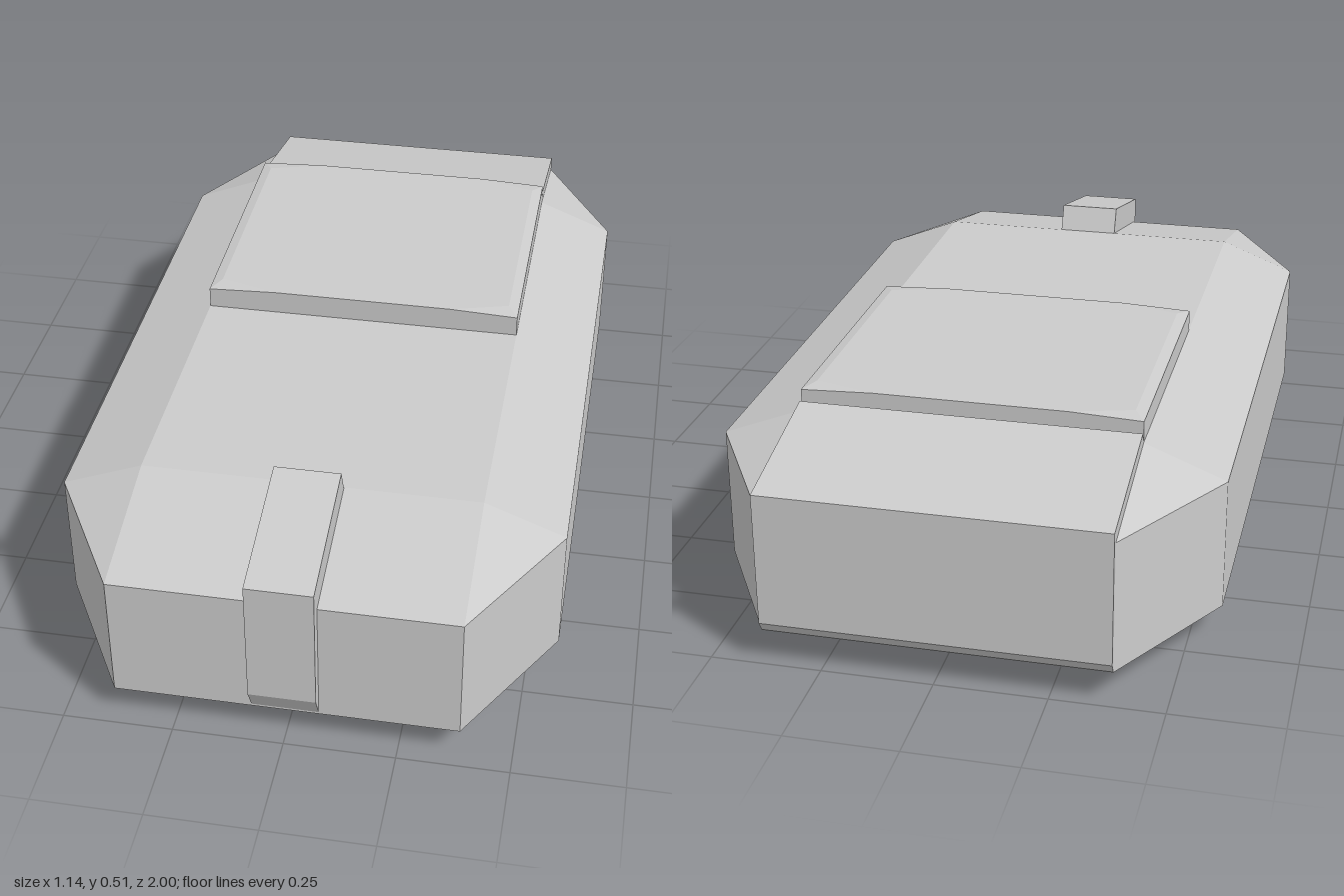
import * as THREE from 'three';
import { ConvexGeometry } from 'three/addons/geometries/ConvexGeometry.js';

const material = new THREE.MeshStandardMaterial({ color: 0xcccccc, flatShading: true });

// Adds a point and its mirror across x = 0
const pair = (x, y, z) => [new THREE.Vector3(x, y, z), new THREE.Vector3(-x, y, z)];

function addPart(group, name, geometry) {
  const mesh = new THREE.Mesh(geometry, material);
  mesh.name = name;
  group.add(mesh);
}

// Side profile of [z, y] points, extruded across x and centred
function sideExtrude(profile, width) {
  const shape = new THREE.Shape(profile.map(([z, y]) => new THREE.Vector2(z, y)));
  const geometry = new THREE.ExtrudeGeometry(shape, { depth: width, bevelEnabled: false });
  return geometry.translate(0, 0, -width / 2).rotateY(-Math.PI / 2);
}

export function createModel() {
  const group = new THREE.Group();
  const inner = 0.385, outer = 0.57;
  const frontZ = 0.65, backZ = -0.665;

  // Body: octagonal band with sloped shoulders to a flat top and bottom
  const body = [];
  for (const y of [0.075, 0.38]) {
    body.push(...pair(inner, y, 0.97), ...pair(outer, y, frontZ),
      ...pair(outer, y, backZ), ...pair(inner, y, -0.985));
  }
  for (const y of [0, 0.453]) {
    body.push(...pair(inner, y, frontZ), ...pair(inner, y, backZ));
  }
  addPart(group, 'body', new ConvexGeometry(body));

  // Raised top panel with slightly lowered corners
  const panel = [];
  for (const [z, inset] of [[-0.01, -0.04], [backZ, 0.04]]) {
    panel.push(...pair(inner, 0.44, z), ...pair(inner, 0.503, z),
      ...pair(0.22, 0.51, z), ...pair(0.36, 0.51, z + inset));
  }
  addPart(group, 'topPanel', new ConvexGeometry(panel));

  // Rear cover wrapping over the back slope and down the back face
  addPart(group, 'rearCover', sideExtrude([
    [-0.665, 0.45], [-0.677, 0.48], [-1, 0.408], [-1, 0.1], [-0.985, 0.076], [-0.97, 0.37],
  ], inner * 2));

  // Front clip folded over the front slope
  addPart(group, 'frontClip', sideExtrude([
    [0.97, 0.08], [1, 0.138], [1, 0.441], [0.68, 0.515], [0.652, 0.452], [0.95, 0.37],
  ], 0.15));

  return group;
}
